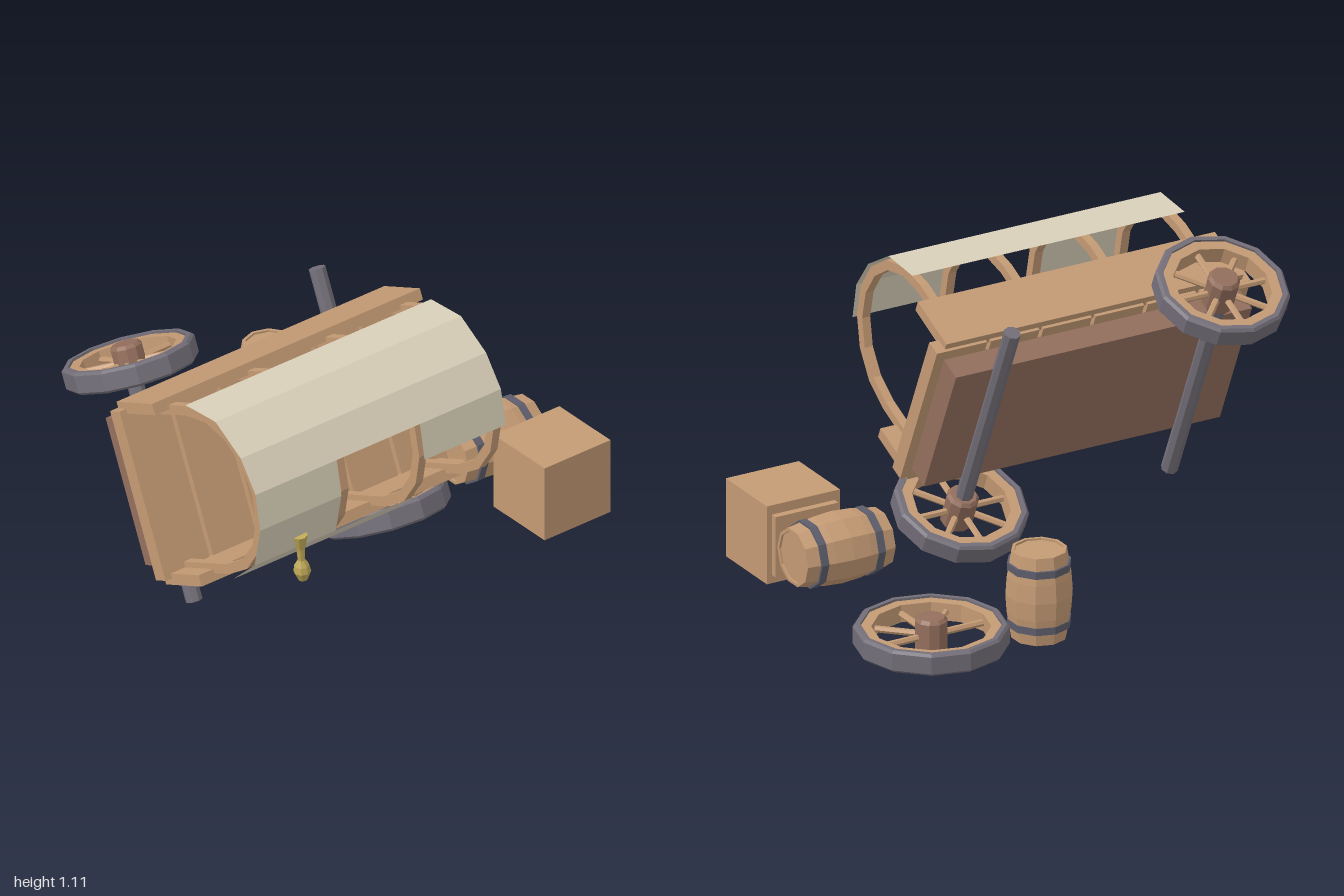
import * as THREE from 'three';

const mat = (name, color, extra = {}) => {
  const m = new THREE.MeshStandardMaterial({ color, flatShading: true, ...extra });
  m.name = name;
  return m;
};

export function createModel() {
  const wood = mat('wood', 0xc49a74);
  const darkWood = mat('darkWood', 0x946f5d);
  const iron = mat('iron', 0x736e78);
  const band = mat('bandIron', 0x5d5d6c);
  const canvas = mat('canvas', 0xd8cfb8, { side: THREE.DoubleSide });
  const brass = mat('brass', 0xc0a957);

  const root = new THREE.Group();
  root.name = 'overturnedWagon';

  const add = (parent, name, geo, material, x = 0, y = 0, z = 0) => {
    const m = new THREE.Mesh(geo, material);
    m.name = name;
    m.position.set(x, y, z);
    parent.add(m);
    return m;
  };
  // Box given by its min and max corners
  const box = (parent, name, material, x0, x1, y0, y1, z0, z1) =>
    add(parent, name, new THREE.BoxGeometry(x1 - x0, y1 - y0, z1 - z0), material,
      (x0 + x1) / 2, (y0 + y1) / 2, (z0 + z1) / 2);
  const lathe = (pts, sides) =>
    new THREE.LatheGeometry(pts.map(p => new THREE.Vector2(p[0], p[1])), sides);

  // Wheel with a vertical axis; spokes listed by eighths of a turn
  const makeWheel = (name, R, spokes) => {
    const g = new THREE.Group();
    g.name = name;
    const h = 0.043, t = R - 0.028, c = 0.01, ri = R - 0.068;
    add(g, 'tire', lathe([[t, -h], [R - c, -h], [R, -h + c], [R, h - c], [R - c, h], [t, h], [t, -h]], 12), iron);
    add(g, 'felloe', lathe([[ri, -0.034], [t, -0.034], [t, 0.034], [ri, 0.034], [ri, -0.034]], 12), wood);
    add(g, 'hub', lathe([[0, -0.073], [0.05, -0.073], [0.061, -0.06], [0.061, 0.06], [0.05, 0.073], [0, 0.073]], 10), darkWood);
    for (const i of spokes) {
      const geo = new THREE.CylinderGeometry(0.013, 0.013, ri - 0.03, 6);
      geo.rotateZ(-Math.PI / 2);
      geo.translate((ri + 0.05) / 2, 0, 0);
      add(g, 'spoke', geo, wood).rotation.y = i * Math.PI / 4;
    }
    return g;
  };

  // Wagon, built upright and then tipped onto its side
  const wagon = new THREE.Group();
  wagon.name = 'wagon';
  wagon.position.set(0, 0.632, 0.199);
  wagon.rotation.x = THREE.MathUtils.degToRad(66);
  root.add(wagon);

  box(wagon, 'underbody', darkWood, -0.925, 0.325, -0.143, -0.045, -0.285, 0.285);

  // Floor planks laid across the bed
  const pitch = 1.325 / 6;
  for (let i = 0; i < 6; i++) {
    const x = -0.96 + i * pitch;
    box(wagon, 'floorPlank', wood, x + (i ? 0.008 : 0), x + pitch - (i < 5 ? 0.008 : 0), -0.048, 0.013, -0.328, 0.328);
  }
  for (const s of [-1, 1])
    box(wagon, 'sideBoard', wood, -0.93, 0.325, -0.036, 0.19, s * 0.332 - 0.022, s * 0.332 + 0.022);

  // Axles, with one wheel left on each
  for (const [x, s] of [[-0.75, -1], [0.144, 1]]) {
    const axle = new THREE.CylinderGeometry(0.032, 0.032, 0.97, 8);
    axle.rotateX(Math.PI / 2);
    add(wagon, 'axle', axle, iron, x, -0.16, 0);
    const w = makeWheel('wagonWheel', 0.252, [0, 1, 2, 3, 4, 5, 6, 7]);
    w.rotation.x = Math.PI / 2;
    w.position.set(x, -0.155, s * 0.44);
    wagon.add(w);
  }

  // Cover hoops
  const arch = r => {
    const pts = [[r, 0.0]];
    for (let i = 0; i <= 8; i++) {
      const a = i * Math.PI / 8;
      pts.push([r * Math.cos(a), 0.285 + r * Math.sin(a)]);
    }
    pts.push([-r, 0.0]);
    return pts.map(p => new THREE.Vector2(p[0], p[1]));
  };
  const hoopGeo = new THREE.ExtrudeGeometry(
    new THREE.Shape([...arch(0.326), ...arch(0.288).reverse()]), { depth: 0.034, bevelEnabled: false });
  hoopGeo.translate(0, 0, -0.017);
  hoopGeo.rotateY(Math.PI / 2);
  for (const x of [-0.845, -0.475, -0.11, 0.24]) add(wagon, 'hoop', hoopGeo, wood, x);

  // Torn canvas: facets kept in each stretch along the wagon
  const half = [[0.328, 0.337], [0.492, 0.278], [0.59, 0.14]];
  const rib = [...half.map(([y, z]) => [y, -z]), [0.622, 0], ...half.slice().reverse()];
  const stretches = [
    [-0.88, -0.5, [0, 1, 2, 3, 4, 5]],
    [-0.5, -0.11, [0, 1, 2, 5]],
    [-0.11, 0.27, [0, 1, 2, 3]],
  ];
  const verts = [];
  for (const [x0, x1, facets] of stretches)
    for (const f of facets) {
      const [ya, za] = rib[f], [yb, zb] = rib[f + 1];
      verts.push(x0, ya, za, x0, yb, zb, x1, yb, zb, x0, ya, za, x1, yb, zb, x1, ya, za);
    }
  const cover = new THREE.BufferGeometry();
  cover.setAttribute('position', new THREE.Float32BufferAttribute(verts, 3));
  cover.computeVertexNormals();
  add(wagon, 'canvasCover', cover, canvas);

  // Loose wheel with some spokes missing
  const loose = makeWheel('looseWheel', 0.287, [0, 4, 5, 6, 7]);
  loose.position.set(0.706, 0.075, -0.52);
  root.add(loose);

  // Barrels
  const makeBarrel = (name) => {
    const g = new THREE.Group();
    g.name = name;
    add(g, 'staves', lathe([[0, -0.165], [0.092, -0.165], [0.092, -0.173], [0.104, -0.173], [0.121, -0.07],
      [0.126, 0], [0.121, 0.07], [0.104, 0.173], [0.092, 0.173], [0.092, 0.165], [0, 0.165]], 10), wood);
    for (const s of [-1, 1])
      add(g, 'barrelBand', lathe([[0.1, -0.014], [0.12, -0.014], [0.12, 0.014], [0.1, 0.014]], 10), band, 0, s * 0.112, 0);
    return g;
  };
  const standing = makeBarrel('standingBarrel');
  standing.position.set(0.315, 0.202, -0.63);
  const lying = makeBarrel('lyingBarrel');
  lying.scale.setScalar(1.07);
  lying.rotation.z = Math.PI / 2;
  lying.position.set(0.722, 0.178, 0.137);
  root.add(standing, lying);

  // Crate with a raised back panel
  box(root, 'crate', wood, 0.612, 0.921, 0.012, 0.322, 0.3, 0.597);
  box(root, 'cratePanel', wood, 0.635, 0.9, 0.045, 0.285, 0.272, 0.3);

  // Hanging horn
  const horn = lathe([[0, 0], [0.018, 0.004], [0.033, 0.04], [0.028, 0.066], [0.014, 0.09],
    [0.016, 0.14], [0.03, 0.2], [0, 0.2]], 8);
  add(root, 'horn', horn, brass, -0.66, 0.434, 0.77).rotation.z = 0.08;

  return root;
}
